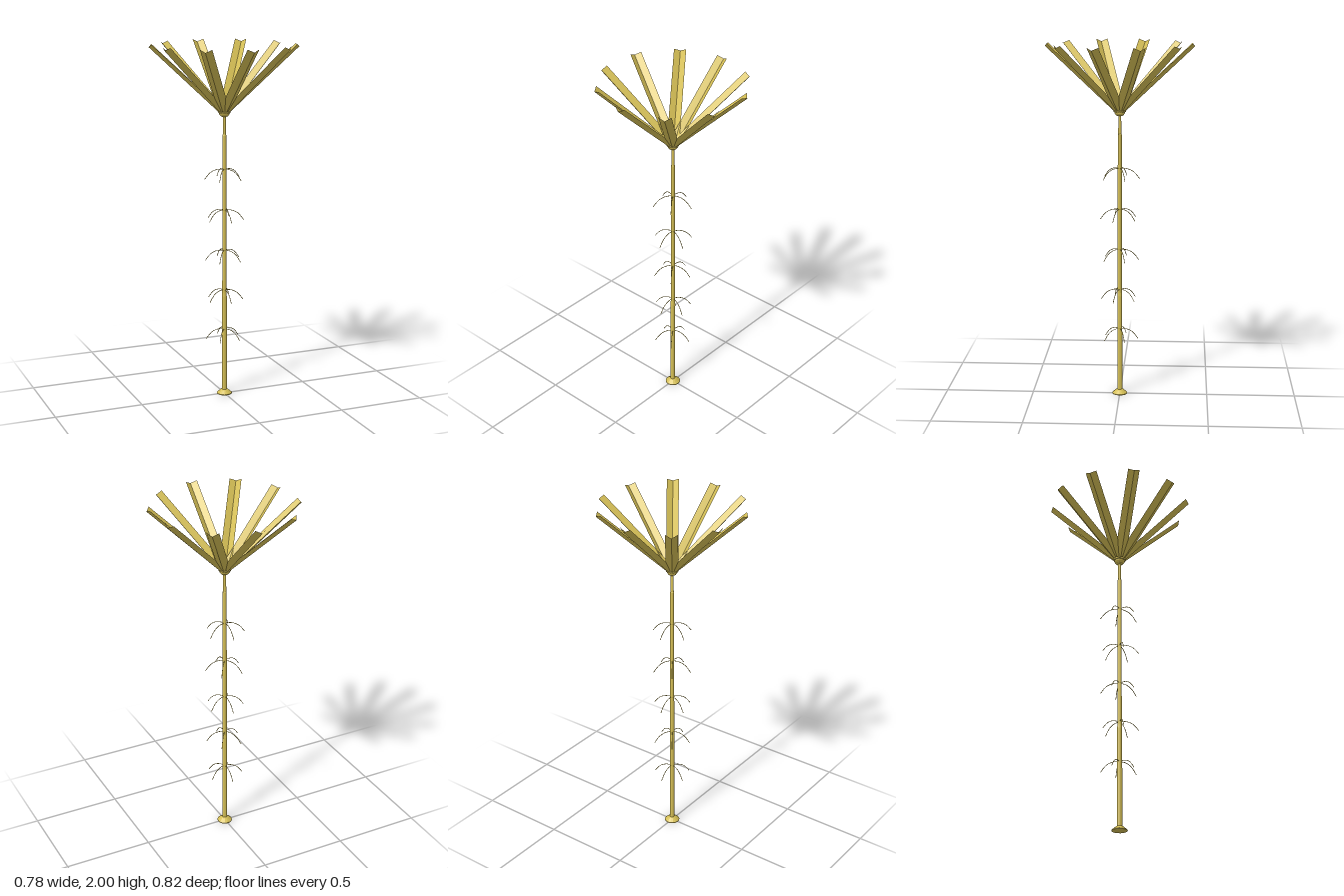
import * as THREE from 'three';

const brass = new THREE.MeshStandardMaterial({ color: 0xd4be55 });
brass.name = 'brass';
const brassSheet = new THREE.MeshStandardMaterial({ color: 0xd4be55, side: THREE.DoubleSide, flatShading: true });
brassSheet.name = 'brassSheet';

function add(parent, name, geometry, material = brass) {
  const mesh = new THREE.Mesh(geometry, material);
  mesh.name = name;
  parent.add(mesh);
  return mesh;
}

// Solid of revolution from [radius, height] pairs
function lathe(profile, sides) {
  const g = new THREE.LatheGeometry(profile.map(([r, y]) => new THREE.Vector2(r, y)), sides).toNonIndexed();
  g.computeVertexNormals();
  return g;
}

// V-shaped trough strip rising outwards along +z
function bladeGeometry() {
  const w = 0.033;
  const g = new THREE.BufferGeometry();
  g.setAttribute('position', new THREE.Float32BufferAttribute([
    -w, 1.648, 0.02, 0, 1.632, 0.035, w, 1.648, 0.02,
    -w, 2.0, 0.395, 0, 1.985, 0.41, w, 2.0, 0.395,
  ], 3));
  g.setIndex([0, 3, 1, 1, 3, 4, 1, 4, 2, 2, 4, 5]);
  const flat = g.toNonIndexed();
  flat.computeVertexNormals();
  return flat;
}

// Drooping wire branch along -z
function branchGeometry(reach) {
  const points = [[0, 0], [0.035, 0], [0.065, -0.01], [0.085, -0.025], [0.11, -0.057]]
    .map(([r, y]) => new THREE.Vector3(0, y, -r * reach));
  return new THREE.TubeGeometry(new THREE.CatmullRomCurve3(points), 8, 0.0018, 5);
}

export function createModel() {
  const model = new THREE.Group();
  model.name = 'palmStand';

  // Foot and stepped pole
  add(model, 'foot', lathe([[0, 0], [0.043, 0], [0.043, 0.004], [0.022, 0.022], [0.014, 0.026], [0, 0.026]], 16));
  add(model, 'pole', lathe([
    [0.0145, 0.02], [0.014, 0.58], [0.012, 0.6], [0.0115, 1.04],
    [0.011, 1.5], [0.0085, 1.505], [0.008, 1.615],
  ], 12));

  // Five whorls of wire branches, every other one turned half a step
  for (let level = 0; level < 5; level++) {
    const whorl = new THREE.Group();
    whorl.name = 'branchWhorl';
    whorl.position.y = 0.387 + level * 0.231;
    const geometry = branchGeometry(0.94 + level * 0.015);
    for (let i = 0; i < 5; i++) {
      const branch = add(whorl, 'branch', geometry);
      branch.rotation.y = (i + (level % 2) / 2) * Math.PI * 2 / 5;
    }
    model.add(whorl);
  }

  // Hub: bowl, knob and a ring of small beads
  add(model, 'hubBowl', lathe([[0.008, 1.602], [0.02, 1.606], [0.029, 1.618], [0.031, 1.628], [0, 1.63]], 16));
  const knob = add(model, 'hubKnob', new THREE.SphereGeometry(0.028, 16, 8, 0, Math.PI * 2, 0, Math.PI / 2));
  knob.scale.y = 0.5;
  knob.position.y = 1.627;
  const bead = new THREE.SphereGeometry(0.005, 6, 4);
  for (let i = 0; i < 20; i++) {
    const a = i * Math.PI / 10;
    add(model, 'hubBead', bead).position.set(0.03 * Math.sin(a), 1.629, 0.03 * Math.cos(a));
  }

  // Crown of ten blades
  const blade = bladeGeometry();
  for (let i = 0; i < 10; i++) add(model, 'blade', blade, brassSheet).rotation.y = i * Math.PI / 5;

  return model;
}
